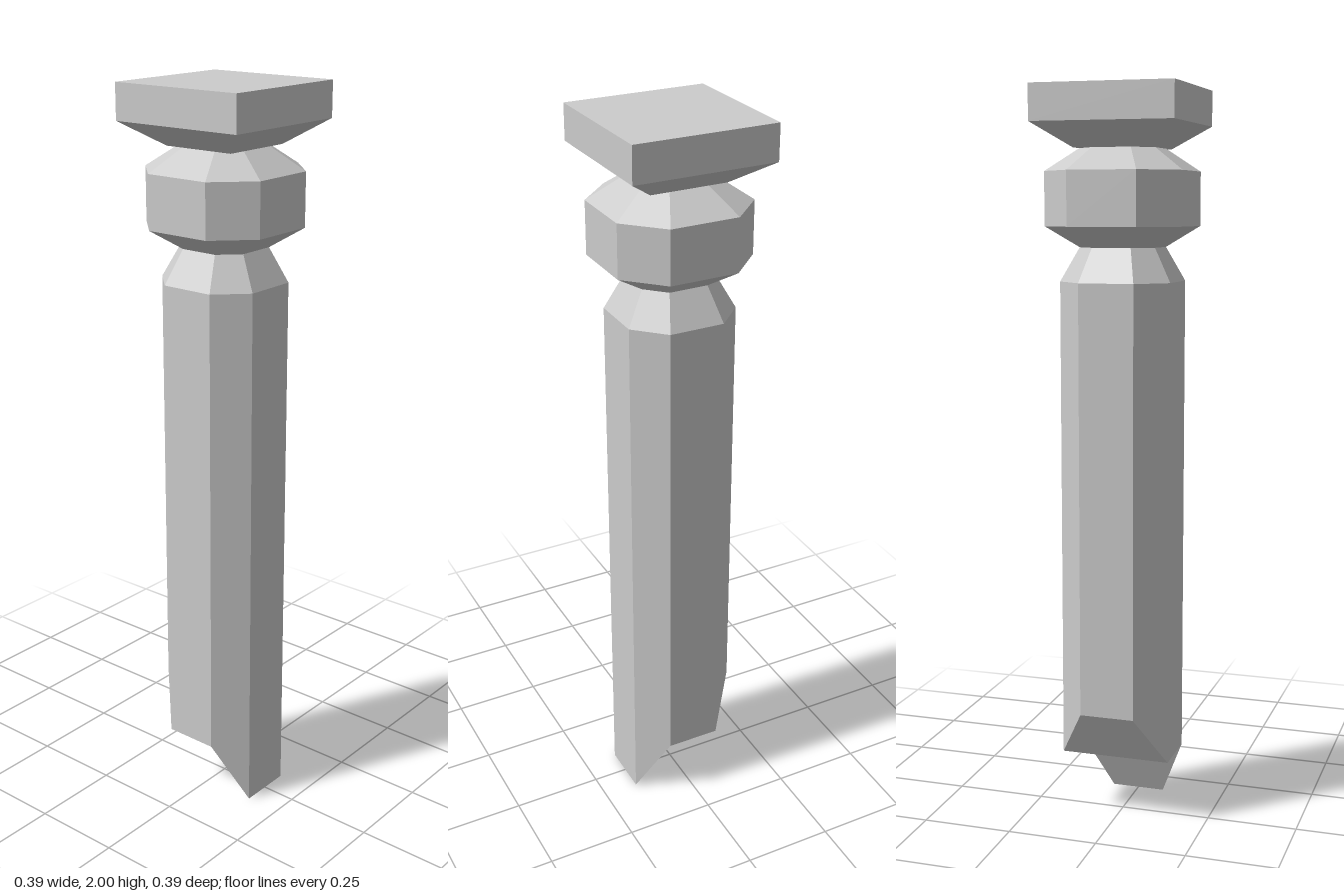
import * as THREE from 'three';

// Ring of corners at half width a; b is half the length of each straight side (b = a gives a square).
function ring(a, b, y) {
  const xz = a === b
    ? [[a, a], [a, -a], [-a, -a], [-a, a]]
    : [[a, b], [a, -b], [b, -a], [-b, -a], [-a, -b], [-a, b], [-b, a], [b, a]];
  return xz.map(([x, z]) => new THREE.Vector3(x, typeof y === 'function' ? y(x) : y, z));
}

// Joins rings from bottom to top with flat quads; caps are lists of corner loops.
function loft(name, rings, bottomCaps, topCaps) {
  const pos = [];
  const tri = (...pts) => pts.forEach((p) => pos.push(p.x, p.y, p.z));
  const fan = (ringPts, loop) => {
    for (let i = 1; i < loop.length - 1; i++) tri(ringPts[loop[0]], ringPts[loop[i]], ringPts[loop[i + 1]]);
  };
  for (let r = 0; r < rings.length - 1; r++) {
    const lo = rings[r], hi = rings[r + 1], n = lo.length;
    for (let i = 0; i < n; i++) {
      const j = (i + 1) % n;
      tri(lo[i], lo[j], hi[j]);
      tri(lo[i], hi[j], hi[i]);
    }
  }
  bottomCaps.forEach((loop) => fan(rings[0], [...loop].reverse()));
  topCaps.forEach((loop) => fan(rings[rings.length - 1], loop));
  const geometry = new THREE.BufferGeometry();
  geometry.setAttribute('position', new THREE.Float32BufferAttribute(pos, 3));
  geometry.computeVertexNormals();
  const mesh = new THREE.Mesh(geometry, new THREE.MeshStandardMaterial({ color: 0xcccccc, flatShading: true }));
  mesh.name = name;
  return mesh;
}

export function createModel() {
  const group = new THREE.Group();
  group.name = 'brokenPillar';
  const octagon = [[0, 1, 2, 3, 4, 5, 6, 7]];
  const square = [[0, 1, 2, 3]];

  // Octagonal shaft, its foot broken off in three planes that rise towards -x
  const brokenFoot = (x) => (x > 0.1 ? 0 : x < -0.1 ? 0.32 : 0.18);
  group.add(loft('shaft', [
    ring(0.152, 0.075, brokenFoot),
    ring(0.152, 0.075, 1.495),
    ring(0.104, 0.053, 1.585),
  ], [[0, 1, 2, 7], [2, 3, 6, 7], [3, 4, 5, 6]], octagon));

  // Octagonal collar, bevelled above and below
  group.add(loft('collar', [
    ring(0.104, 0.053, 1.585),
    ring(0.188, 0.093, 1.64),
    ring(0.188, 0.093, 1.783),
    ring(0.104, 0.053, 1.842),
  ], octagon, octagon));

  // Square capital on a tapered underside
  group.add(loft('capital', [
    ring(0.104, 0.104, 1.842),
    ring(0.193, 0.193, 1.905),
    ring(0.193, 0.193, 2),
  ], square, square));

  return group;
}
